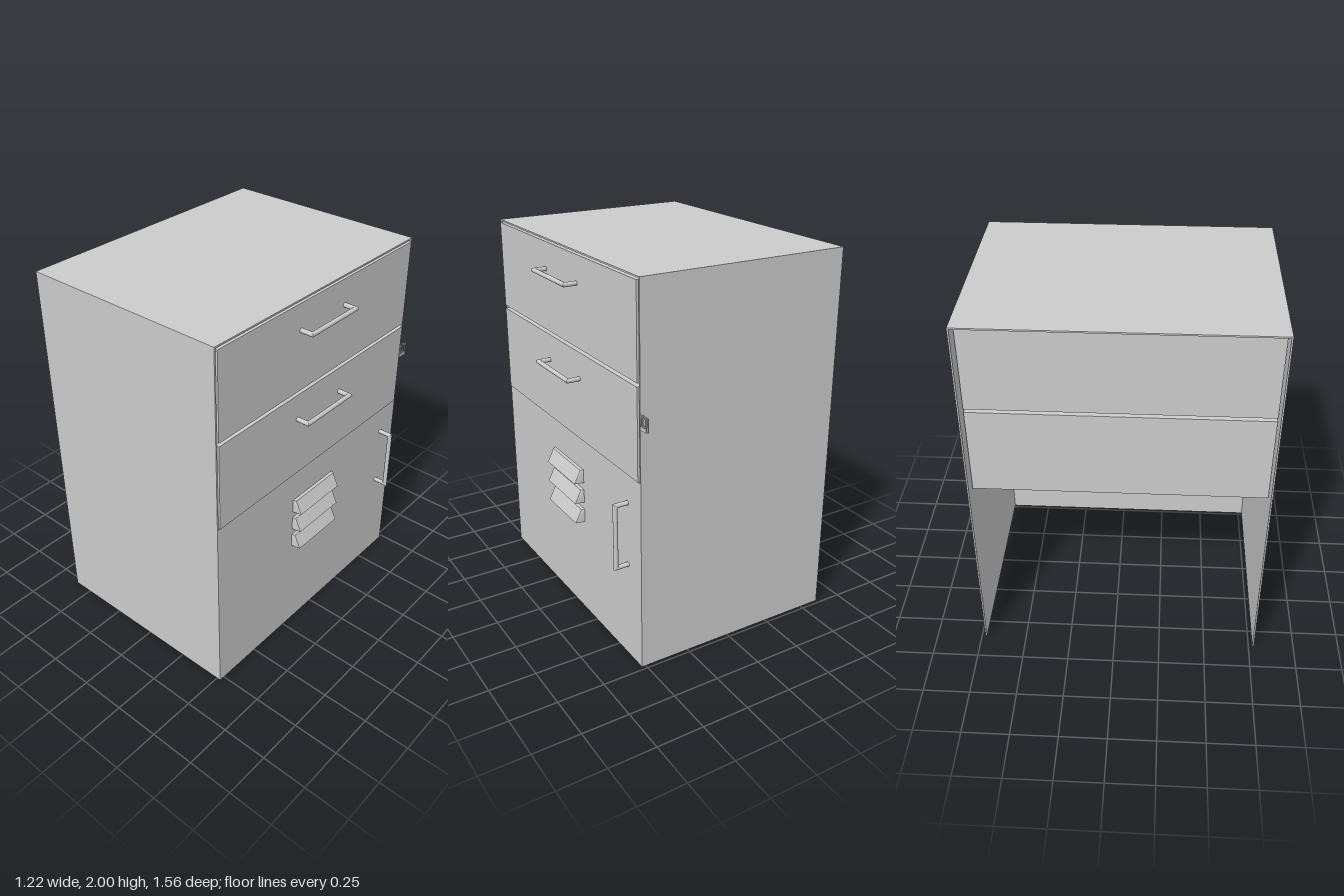
import * as THREE from 'three';

const grey = new THREE.MeshStandardMaterial({ color: 0xcccccc, side: THREE.DoubleSide });
const flat = new THREE.MeshStandardMaterial({ color: 0xcccccc, side: THREE.DoubleSide, flatShading: true });

// Cabinet extents: the drawers face +x, the rear (-x) and underside are open
const X0 = -0.61, X1 = 0.522, Z0 = -0.73, Z1 = 0.78, T = 0.008;

function box(name, x0, x1, y0, y1, z0, z1) {
  const mesh = new THREE.Mesh(new THREE.BoxGeometry(x1 - x0, y1 - y0, z1 - z0), grey);
  mesh.position.set((x0 + x1) / 2, (y0 + y1) / 2, (z0 + z1) / 2);
  mesh.name = name;
  return mesh;
}

function rectPath(path, u0, u1, v0, v1) {
  path.moveTo(u0, v0);
  path.lineTo(u1, v0);
  path.lineTo(u1, v1);
  path.lineTo(u0, v1);
  path.closePath();
  return path;
}

// Upright plate facing +x, with rectangular holes given as [z0, z1, y0, y1]
function plate(name, x, depth, outline, holes) {
  const flip = ([z0, z1, y0, y1]) => [-z1, -z0, y0, y1];
  const shape = rectPath(new THREE.Shape(), ...flip(outline));
  for (const h of holes) shape.holes.push(rectPath(new THREE.Path(), ...flip(h)));
  const geo = new THREE.ExtrudeGeometry(shape, { depth, bevelEnabled: false });
  geo.rotateY(Math.PI / 2);
  const mesh = new THREE.Mesh(geo, grey);
  mesh.position.x = x;
  mesh.name = name;
  return mesh;
}

// U-shaped round-bar pull with mitred corners, running along y and standing out along +x
function handle(name) {
  const g = new THREE.Group();
  g.name = name;
  const r = 0.012, reach = 0.068, half = 0.17;
  const bar = new THREE.CylinderGeometry(r, r, 1, 12, 1, true);
  const p = bar.attributes.position;
  for (let i = 0; i < p.count; i++) {
    const s = Math.sign(p.getY(i));
    p.setY(i, s * (half + p.getX(i)));
  }
  const grip = new THREE.Mesh(bar, grey);
  grip.position.x = reach;
  grip.name = 'grip';
  g.add(grip);
  for (const s of [-1, 1]) {
    const leg = new THREE.CylinderGeometry(r, r, 1, 12, 1, true).rotateZ(-Math.PI / 2);
    const q = leg.attributes.position;
    for (let i = 0; i < q.count; i++) {
      q.setX(i, q.getX(i) > 0 ? reach + s * q.getY(i) : 0);
    }
    const post = new THREE.Mesh(leg, grey);
    post.position.y = s * half;
    post.name = 'post';
    g.add(post);
  }
  return g;
}

// Vent hood, open underneath and behind, with slightly tapered ends
function louver(y0, y1, z0, z1) {
  const e = 0.008;
  const v = [
    [X1, y1, z0], [X1, y1, z1],
    [0.537, y1 - 0.003, z0 + e], [0.537, y1 - 0.003, z1 - e],
    [0.572, y0, z0 + e], [0.572, y0, z1 - e],
    [X1, y0, z0], [X1, y0, z1],
  ];
  const faces = [
    0, 1, 3, 0, 3, 2, // top lip
    2, 3, 5, 2, 5, 4, // slope
    0, 2, 4, 0, 4, 6, // end caps
    1, 5, 3, 1, 7, 5,
  ];
  const geo = new THREE.BufferGeometry();
  geo.setAttribute('position', new THREE.Float32BufferAttribute(v.flat(), 3));
  geo.setIndex(faces);
  geo.computeVertexNormals();
  const mesh = new THREE.Mesh(geo, flat);
  mesh.name = 'ventLouver';
  return mesh;
}

export function createModel() {
  const model = new THREE.Group();
  model.name = 'drawerCabinet';

  // Thin sheet shell
  model.add(
    box('topPanel', X0, X1, 2 - T, 2, Z0, Z1),
    box('sidePanelA', X0, X1, 0, 2 - T, Z1 - T, Z1),
    box('sidePanelB', X0, X1, 0, 2 - T, Z0, Z0 + T),
  );

  // Door with vent slots under the hoods
  const vents = [0.55, 0.665, 0.78];
  const slots = vents.map((y) => [-0.132, 0.19, y + 0.003, y + 0.07]);
  model.add(plate('door', X1 - T, T, [Z0 + T, Z1 - T, 0, 1.025], slots));
  for (const y of vents) model.add(louver(y, y + 0.075, -0.14, 0.198));

  const doorHandle = handle('doorHandle');
  doorHandle.position.set(X1, 0.703, -0.602);
  model.add(doorHandle);

  // Two drawers: deep body, raised front and horizontal pull
  for (const [y0, y1, grip] of [[1.03, 1.5, 1.36], [1.518, 1.985, 1.845]]) {
    const drawer = new THREE.Group();
    drawer.name = 'drawer';
    drawer.add(box('drawerBody', -0.54, X1 - 0.004, y0, y1, Z0 + 0.012, Z1 - 0.012));
    drawer.add(box('drawerFront', X1 - 0.004, 0.529, y0, y1, Z0 + 0.015, Z1 - 0.012));
    const pull = handle('drawerHandle');
    pull.rotation.x = Math.PI / 2;
    pull.position.set(0.525, grip, 0.027);
    drawer.add(pull);
    model.add(drawer);
  }

  // Pair of lock tabs with a square eye
  for (const x of [0.51, 0.521]) {
    model.add(plate('lockTab', x, 0.004, [-0.784, Z0, 1.3, 1.37], [[-0.776, -0.737, 1.32, 1.364]]));
  }

  return model;
}
